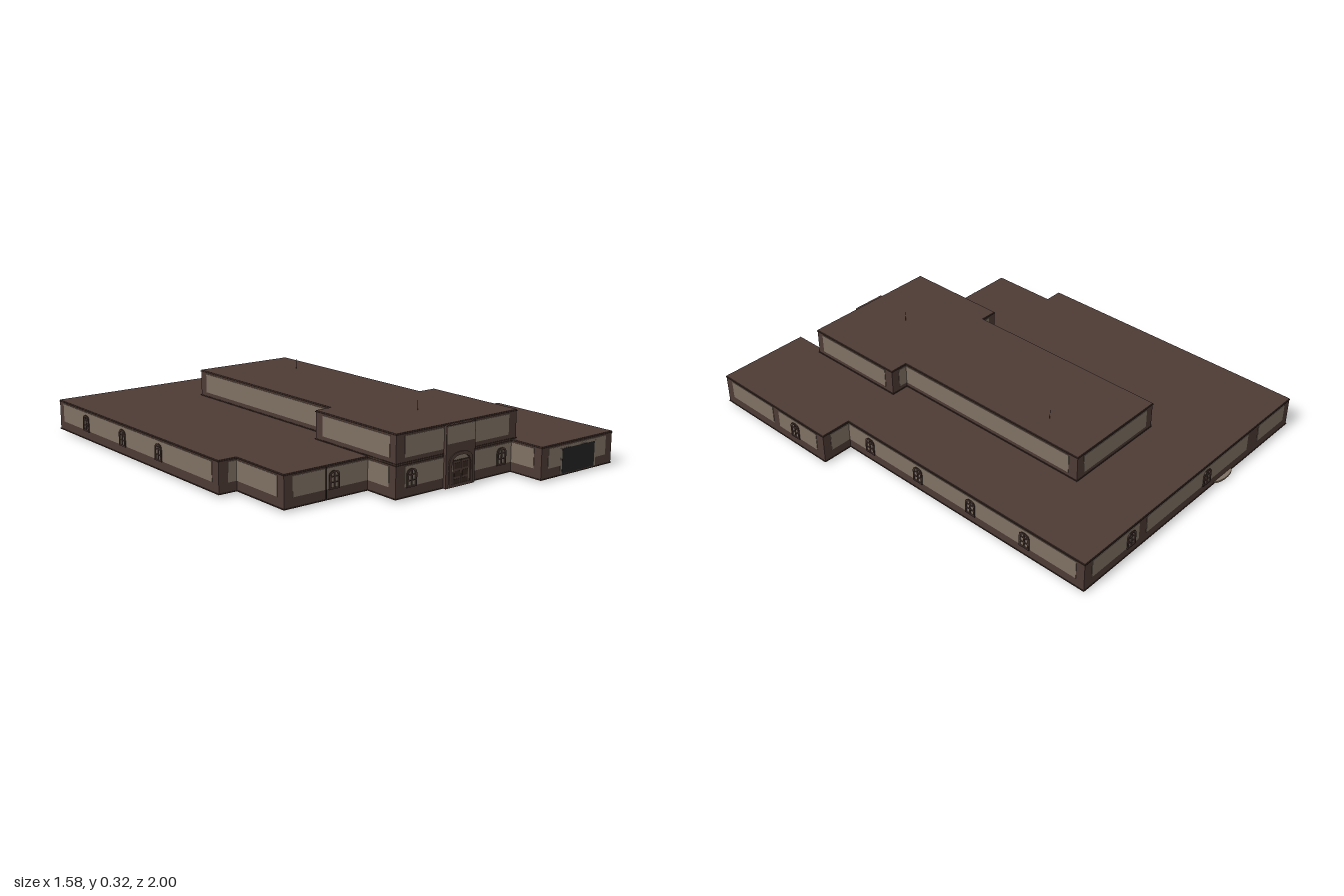
import * as THREE from 'three';

const mat = (name, color) => {
  const m = new THREE.MeshStandardMaterial({ color });
  m.name = name;
  return m;
};

export function createModel() {
  const root = new THREE.Group();
  root.name = 'building';
  const brown = mat('brown timber', 0x4e3b35);
  const beige = mat('beige plaster', 0x7f7164);
  const dark = mat('dark trim', 0x35261f);
  const black = mat('black shutter', 0x222222);

  const add = (parent, name, geo, material, x = 0, y = 0, z = 0) => {
    const m = new THREE.Mesh(geo, material);
    m.name = name;
    m.position.set(x, y, z);
    parent.add(m);
    return m;
  };
  const box = (parent, name, w, h, d, material, x, y, z) =>
    add(parent, name, new THREE.BoxGeometry(w, h, d), material, x, y, z);

  // Flat-roofed volume from a plan outline of [x, z] corners
  const storey = (name, plan, y0, y1) => {
    const shape = new THREE.Shape(plan.map(p => new THREE.Vector2(p[0], p[1])));
    const geo = new THREE.ExtrudeGeometry(shape, { depth: y1 - y0, bevelEnabled: false });
    geo.rotateX(Math.PI / 2);
    add(root, name, geo, brown, 0, y1, 0);
    // thin dark line under the roof edge, and along the base
    plan.forEach((p, i) => {
      const q = plan[(i + 1) % plan.length];
      const dx = Math.abs(q[0] - p[0]), dz = Math.abs(q[1] - p[1]);
      for (const y of [y1 - 0.006, y0 + 0.002]) {
        box(root, name + 'Edge', dx + 0.005, 0.004, dz + 0.005, dark,
          (p[0] + q[0]) / 2, y, (p[1] + q[1]) / 2);
      }
    });
  };

  storey('groundFloor', [
    [-0.785, -0.98], [0.635, -0.98], [0.635, 0.335], [0.78, 0.335], [0.78, 0.997], [0.345, 0.997],
    [0.345, 0.83], [-0.29, 0.83], [-0.29, 0.665], [-0.7, 0.665], [-0.7, 0.355], [-0.785, 0.355],
  ], 0.01, 0.15);
  storey('upperFloor', [
    [-0.21, -0.65], [0.285, -0.65], [0.285, 0.335], [0.37, 0.335],
    [0.37, 0.83], [-0.29, 0.83], [-0.29, 0.335], [-0.21, 0.335],
  ], 0.15, 0.273);

  // Places a group on a wall: u runs along the wall, plane is its x or z
  const turn = { front: 0, right: Math.PI / 2, back: Math.PI, left: -Math.PI / 2 };
  const onWall = (name, face, plane, u, y = 0) => {
    const g = new THREE.Group();
    g.name = name;
    g.rotation.y = turn[face];
    if (face === 'front' || face === 'back') g.position.set(u, y, plane);
    else g.position.set(plane, y, u);
    root.add(g);
    return g;
  };
  const panel = (face, plane, a, b, y0, y1) => {
    const g = onWall('wallPanel', face, plane, (a + b) / 2);
    box(g, 'plaster', Math.abs(b - a), y1 - y0, 0.004, beige, 0, (y0 + y1) / 2, 0);
  };

  // Plaster panels of the ground floor: face, plane, from, to
  [
    ['front', 0.355, -0.742, -0.7], ['front', 0.665, -0.66, -0.29],
    ['front', 0.83, -0.245, -0.04], ['front', 0.83, 0.12, 0.345], ['front', 0.997, 0.385, 0.74],
    ['right', 0.78, 0.955, 0.67], ['right', 0.78, 0.63, 0.38], ['right', 0.635, 0.335, -0.94],
    ['back', -0.98, 0.59, 0.3], ['back', -0.98, 0.25, -0.46], ['back', -0.98, -0.54, -0.745],
    ['back', 0.335, 0.635, 0.74],
    ['left', -0.785, -0.94, 0.31], ['left', -0.7, 0.355, 0.625],
    ['left', -0.29, 0.665, 0.79], ['left', 0.345, 0.83, 0.957],
  ].forEach(p => panel(...p, 0.053, 0.137));

  // Plaster panels of the upper floor
  [
    ['front', 0.83, -0.245, -0.04], ['front', 0.83, 0.12, 0.325],
    ['right', 0.37, 0.795, 0.38], ['right', 0.285, 0.335, -0.605],
    ['back', -0.65, -0.17, 0.245], ['back', 0.335, -0.25, -0.21], ['back', 0.335, 0.285, 0.33],
    ['left', -0.29, 0.795, 0.38], ['left', -0.21, 0.335, -0.605],
  ].forEach(p => panel(...p, 0.172, 0.259));

  // Narrow seam in the wing's front wall
  box(root, 'wallSeam', 0.005, 0.135, 0.006, dark, -0.5, 0.08, 0.666);

  // Round-topped outline, hollow when a frame width is given
  const archPath = (Type, w, h, rise, y0 = 0) => {
    const p = new Type();
    p.moveTo(-w / 2, y0);
    p.lineTo(w / 2, y0);
    p.lineTo(w / 2, h - rise);
    p.quadraticCurveTo(w / 2, h, 0, h);
    p.quadraticCurveTo(-w / 2, h, -w / 2, h - rise);
    p.closePath();
    return p;
  };
  const arch = (w, h, rise, t, depth) => {
    const s = archPath(THREE.Shape, w, h, rise);
    if (t) s.holes.push(archPath(THREE.Path, w - 2 * t, h - t, rise, t));
    return new THREE.ExtrudeGeometry(s, { depth, bevelEnabled: false, curveSegments: 8 });
  };

  // Arched windows
  const windowAt = (face, plane, u) => {
    const g = onWall('window', face, plane, u, 0.05);
    add(g, 'windowFrame', arch(0.05, 0.073, 0.022, 0.006, 0.007), brown);
    box(g, 'mullion', 0.005, 0.07, 0.006, brown, 0, 0.035, 0.003);
    for (const y of [0.027, 0.05]) box(g, 'glazingBar', 0.046, 0.004, 0.006, brown, 0, y, 0.003);
    add(g, 'windowOutline', arch(0.053, 0.0745, 0.023, 0.004, 0.005), dark);
  };
  [
    ['front', 0.665, -0.46], ['front', 0.83, -0.21], ['front', 0.83, 0.285],
    ['right', 0.78, 0.52], ['right', 0.635, 0.2], ['right', 0.635, -0.09],
    ['right', 0.635, -0.39], ['right', 0.635, -0.68],
    ['back', -0.98, 0.35], ['back', -0.98, -0.16],
    ['left', -0.785, -0.72], ['left', -0.785, -0.39], ['left', -0.785, -0.09],
  ].forEach(w => windowAt(...w));

  // Entrance bay with arched double door
  box(root, 'entranceBay', 0.16, 0.258, 0.02, brown, 0.04, 0.139, 0.835);
  box(root, 'entrancePanel', 0.155, 0.072, 0.004, beige, 0.04, 0.228, 0.845);
  const door = onWall('entranceDoor', 'front', 0.843, 0.04, 0.012);
  add(door, 'doorPlaster', arch(0.13, 0.14, 0.045, 0, 0.003), beige);
  add(door, 'doorSurround', arch(0.13, 0.142, 0.045, 0.012, 0.007), brown);
  add(door, 'doorOutline', arch(0.108, 0.132, 0.04, 0.004, 0.006), dark);
  for (const s of [-1, 1]) {
    box(door, 'doorLeaf', 0.042, 0.105, 0.003, brown, s * 0.022, 0.053, 0.004);
    for (let i = 0; i < 3; i++) {
      box(door, 'doorInset', 0.03, 0.024, 0.002, dark, s * 0.022, 0.02 + i * 0.033, 0.0055);
    }
  }
  box(door, 'doorTransom', 0.1, 0.005, 0.006, dark, 0, 0.107, 0.003);

  // Garage shutter with pale jambs
  const garage = onWall('garageDoor', 'front', 0.997, 0.568);
  box(garage, 'garageJamb', 0.218, 0.112, 0.004, beige, 0, 0.072, 0.0005);
  box(garage, 'shutter', 0.2, 0.107, 0.004, black, 0, 0.071, 0.001);

  // Back step, plate under the side entrance, roof rods
  const step = add(root, 'backStep', new THREE.CylinderGeometry(0.065, 0.065, 0.008, 32), beige, -0.29, 0.014, -0.975);
  step.scale.z = 0.38;
  box(root, 'basePlate', 0.16, 0.01, 0.015, dark, 0.45, 0.005, 0.347);
  for (const [x, z] of [[0.04, 0.59], [0.165, -0.4]]) {
    add(root, 'roofRod', new THREE.CylinderGeometry(0.001, 0.001, 0.045, 6), dark, x, 0.295, z);
  }
  return root;
}
